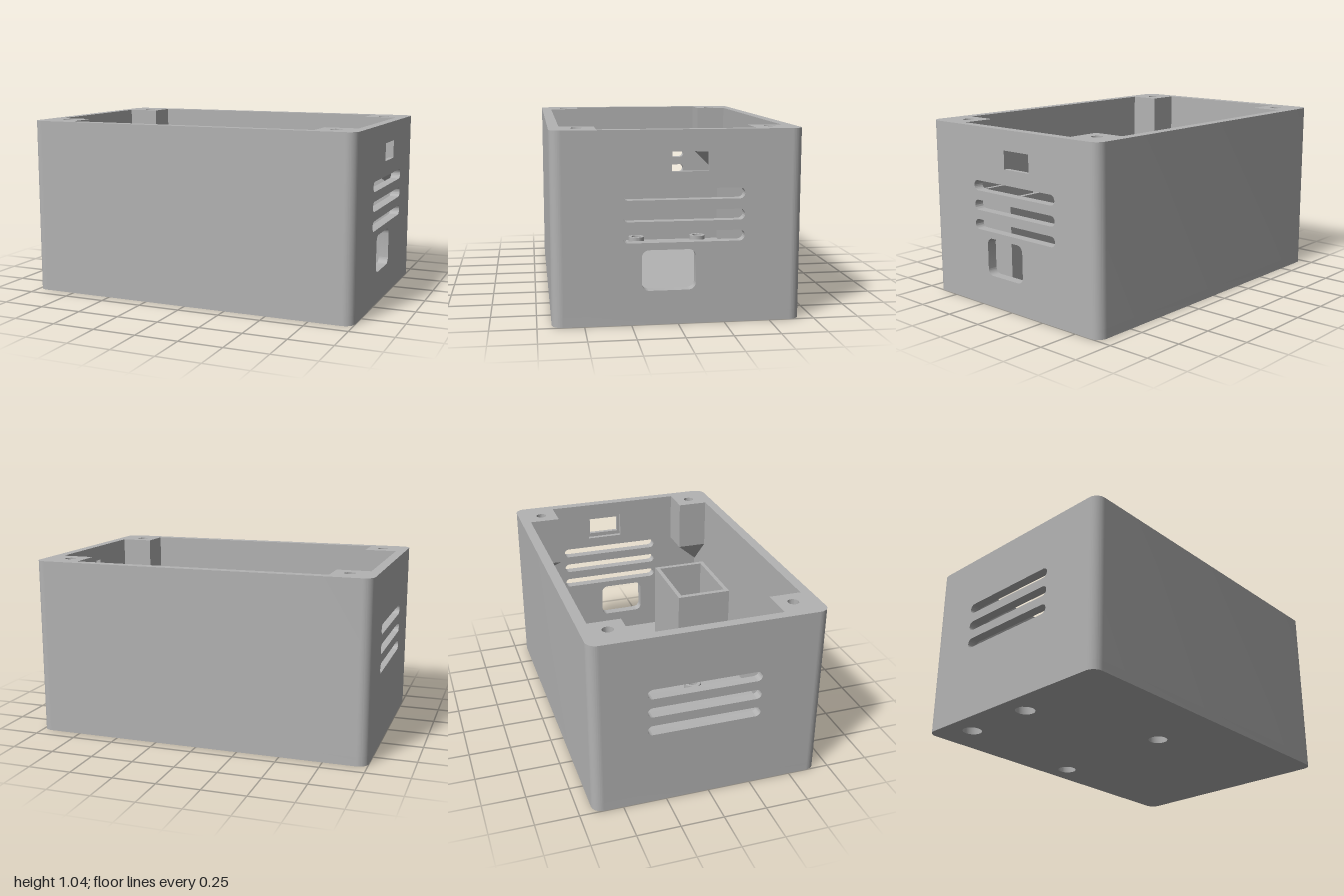
import * as THREE from 'three';
import { toCreasedNormals } from 'three/addons/utils/BufferGeometryUtils.js';
import { ConvexGeometry } from 'three/addons/geometries/ConvexGeometry.js';

const W = 1, D = 0.672, H = 1.04;      // half width, half depth, height
const IX = 0.943, IZ = 0.617;          // inner faces of the walls
const FLOOR = 0.055, R = 0.06, SEAM = D - R;

// Rectangle from (x0,y0) to (x1,y1); one radius per corner, starting lower left
function rect(Type, x0, y0, x1, y1, r = 0) {
  const [a, b, c, d] = Array.isArray(r) ? r : [r, r, r, r];
  const s = new Type();
  s.moveTo(x0 + a, y0).lineTo(x1 - b, y0);
  if (b) s.absarc(x1 - b, y0 + b, b, -Math.PI / 2, 0);
  s.lineTo(x1, y1 - c);
  if (c) s.absarc(x1 - c, y1 - c, c, 0, Math.PI / 2);
  s.lineTo(x0 + d, y1);
  if (d) s.absarc(x0 + d, y1 - d, d, Math.PI / 2, Math.PI);
  s.lineTo(x0, y0 + a);
  if (a) s.absarc(x0 + a, y0 + a, a, Math.PI, Math.PI * 1.5);
  return s;
}

function circle(x, y, r) {
  return new THREE.Path().absarc(x, y, r, 0, Math.PI * 2);
}

function extrude(shape, holes, depth) {
  shape.holes.push(...holes);
  return new THREE.ExtrudeGeometry(shape, { depth, bevelEnabled: false, curveSegments: 14 });
}

// Extrusion upward; shape coordinates are (x, -z)
function upright(shape, holes, y0, y1) {
  return extrude(shape, holes, y1 - y0).rotateX(-Math.PI / 2).translate(0, y0, 0);
}

// Side wall plate; shape coordinates are (-z, y)
function sidePlate(x0, x1, holes) {
  return extrude(rect(THREE.Shape, -SEAM, FLOOR, SEAM, H), holes, x1 - x0)
    .rotateY(Math.PI / 2).translate(x0, 0, 0);
}

export function createModel() {
  const model = new THREE.Group();
  model.name = 'enclosure';
  const grey = new THREE.MeshStandardMaterial({ color: 0xb3b3b3 });
  grey.name = 'grey plastic';

  function add(name, geometry) {
    const mesh = new THREE.Mesh(toCreasedNormals(geometry, 0.5), grey);
    mesh.name = name;
    model.add(mesh);
    return mesh;
  }

  // Floor with screw recesses
  const screws = [[-0.008, -0.53], [-0.853, 0.006], [-0.027, 0.255], [-0.853, -0.447]];
  add('floor', upright(rect(THREE.Shape, -W, -D, W, D, R),
    screws.map(([x, z]) => circle(x, -z, 0.056)), 0, FLOOR));

  // Hollow standoffs above the recesses
  const ring = [[0.056, 0.045], [0.035, 0.045], [0.035, 0.1], [0.056, 0.1], [0.056, 0.045]]
    .map(([x, y]) => new THREE.Vector2(x, y)).reverse();
  for (const [x, z] of screws) {
    add('standoff', new THREE.LatheGeometry(ring, 32).translate(x, 0, z));
  }

  // Front and back walls carry the rounded corners
  add('frontWall', upright(rect(THREE.Shape, -W, -D, W, -SEAM, [R, R, 0, 0]), [], FLOOR, H));
  add('backWall', upright(rect(THREE.Shape, -W, SEAM, W, D, [0, 0, R, R]), [], FLOOR, H));

  // Side walls with vent slots
  const slots = () => [0.444, 0.557, 0.671].map(
    (y) => rect(THREE.Path, -0.296, y, 0.357, y + 0.059, 0.0295));
  const socket = () => rect(THREE.Path, -0.195, 0.185, 0.095, 0.405, 0.04);
  add('rightWall', sidePlate(-W, -IX, slots()));
  add('leftWallOuter', sidePlate(0.972, W,
    [...slots(), socket(), rect(THREE.Path, -0.035, 0.82, 0.162, 0.925)]));
  // Inner layer has a wider recess around the port
  add('leftWallInner', sidePlate(IX, 0.972,
    [...slots(), socket(), rect(THREE.Path, -0.05, 0.795, 0.18, 0.95)]));

  // Corner screw posts, tapering below into the corners
  const PX = 0.75, PZ = 0.425, PY = 0.73;
  for (const sx of [-1, 1]) {
    for (const sz of [-1, 1]) {
      const xs = [sx * PX, sx * IX].sort((a, b) => a - b);
      const ys = [-sz * PZ, -sz * IZ].sort((a, b) => a - b);
      add('cornerPost', upright(rect(THREE.Shape, xs[0], ys[0], xs[1], ys[1]),
        [circle(sx * 0.846, -sz * 0.523, 0.032)], PY, H));
      add('postTaper', new ConvexGeometry([
        [PX, PY, PZ], [IX, PY, PZ], [IX, PY, IZ], [PX, PY, IZ], [IX, 0.54, IZ],
      ].map(([x, y, z]) => new THREE.Vector3(sx * x, y, sz * z))));
    }
  }

  // Open compartment standing against the front wall
  add('compartment', upright(rect(THREE.Shape, 0.259, -IZ, 0.772, -0.254),
    [rect(THREE.Path, 0.291, -0.585, 0.741, -0.281)], FLOOR, 0.585));

  return model;
}
